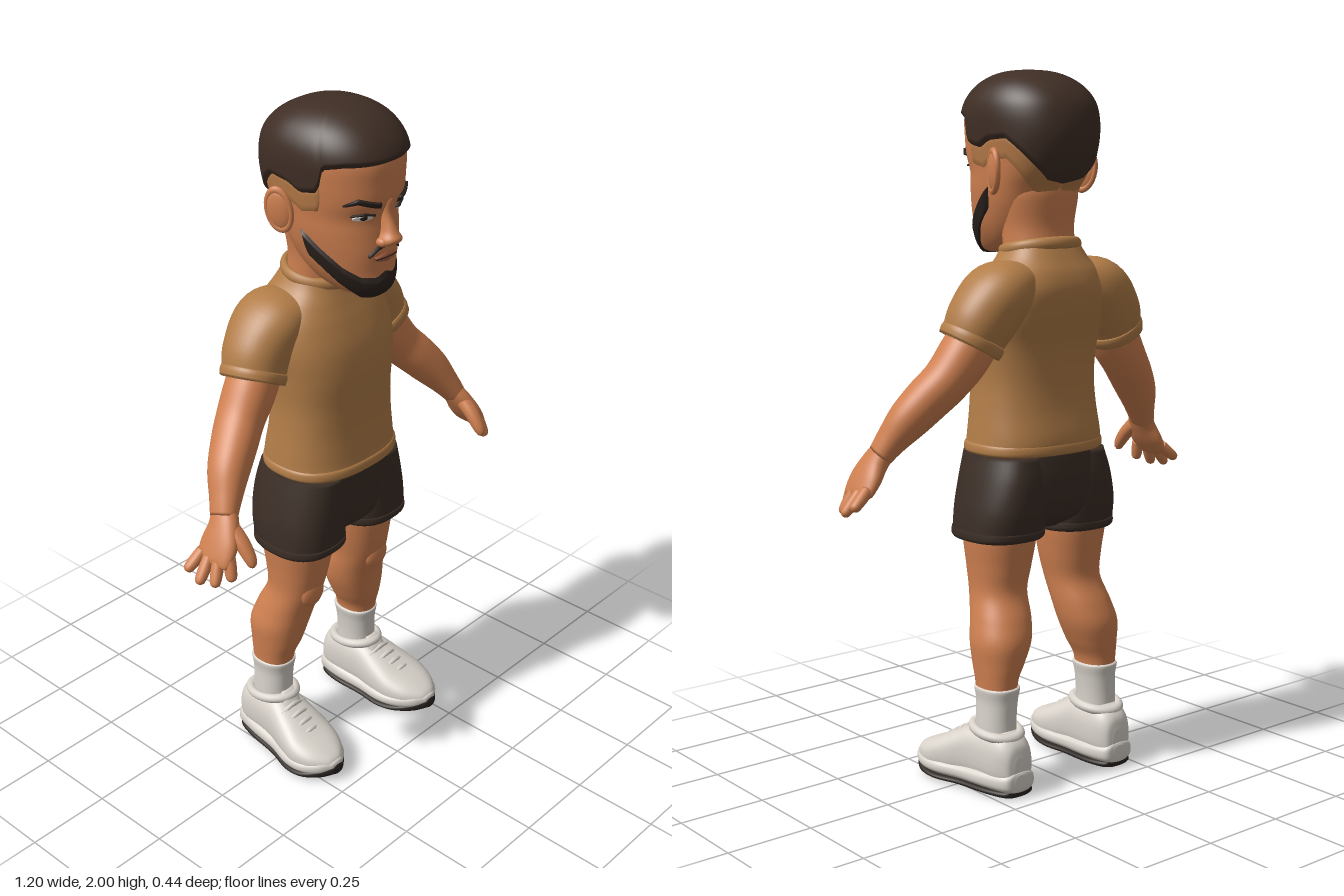
import * as THREE from 'three';
import { mergeVertices } from 'three/addons/utils/BufferGeometryUtils.js';

const mat = (name, color) => Object.assign(new THREE.MeshStandardMaterial({ color }), { name });
const V = (x, y, z) => new THREE.Vector3(x, y, z);
const spow = (v, e) => Math.sign(v) * Math.abs(v) ** e;
const lerp = THREE.MathUtils.lerp;

// Grid of points (rows x cols) to a smooth, welded geometry.
function gridGeometry(rows) {
  const n = rows[0].length, idx = [];
  for (let i = 0; i < rows.length - 1; i++) for (let j = 0; j < n - 1; j++) {
    const a = i * n + j, b = a + n;
    idx.push(a, a + 1, b + 1, a, b + 1, b);
  }
  let g = new THREE.BufferGeometry().setFromPoints(rows.flat());
  g.setIndex(idx);
  g = mergeVertices(g, 1e-5);
  g.computeVertexNormals();
  return g;
}

// Smooth tube through sections [x, y, z, a, b]; a lies along the side axis. A fixed axis keeps rings parallel.
function loft(sections, { axis = null, side = V(1, 0, 0), power = 2.2, seg = 40, steps = 6, s = 1 } = {}) {
  const pos = new THREE.CatmullRomCurve3(sections.map(r => V(r[0] * s, r[1], r[2])), false, 'catmullrom');
  const rad = new THREE.CatmullRomCurve3(sections.map(r => V(r[3], r[4], 0)), false, 'catmullrom');
  const count = (sections.length - 1) * steps, rows = [];
  for (let i = 0; i <= count; i++) {
    const t = i / count, c = pos.getPoint(t), r = rad.getPoint(t);
    const T = axis ? axis.clone() : pos.getTangent(t);
    const S = side.clone().addScaledVector(T, -side.dot(T)).normalize(), B = T.clone().cross(S);
    const ring = [];
    for (let j = 0; j <= seg; j++) {
      const w = (j % seg) / seg * Math.PI * 2;
      ring.push(c.clone().addScaledVector(S, r.x * spow(Math.cos(w), 2 / power))
        .addScaledVector(B, r.y * spow(Math.sin(w), 2 / power)));
    }
    if (i === 0) rows.push(ring.map(() => c.clone()));
    rows.push(ring);
    if (i === count) rows.push(ring.map(() => c.clone()));
  }
  return gridGeometry(rows);
}

// Head profile: [y, half width, front z, back z, z of widest point]
const HEAD = [
  [1.495, .0, .12, .12, .12], [1.503, .055, .15, .05, .09], [1.53, .086, .172, -.03, .05], [1.575, .112, .172, -.09, .03],
  [1.63, .13, .176, -.115, 0], [1.68, .14, .172, -.14, -.01], [1.725, .145, .17, -.172, -.02], [1.77, .15, .187, -.195, -.02],
  [1.82, .155, .19, -.207, -.02], [1.87, .157, .19, -.203, -.02], [1.91, .149, .175, -.188, -.02],
  [1.945, .127, .143, -.155, -.015], [1.97, .093, .1, -.11, -.01], [1.983, .053, .055, -.065, -.005], [1.988, 0, 0, 0, 0]];
const headA = new THREE.CatmullRomCurve3(HEAD.map(r => V(r[1], r[0], r[2])), false, 'catmullrom');
const headB = new THREE.CatmullRomCurve3(HEAD.map(r => V(r[3], r[4], 0)), false, 'catmullrom');
function heightToT(y) {
  let lo = 0, hi = 1;
  for (let i = 0; i < 24; i++) { const m = (lo + hi) / 2; headA.getPoint(m).y < y ? lo = m : hi = m; }
  return (lo + hi) / 2;
}
function headPoint(th, t, off) {
  const A = headA.getPoint(t), B = headB.getPoint(t), c = Math.cos(th), e = 2 / 2.25;
  const p = V(A.x * spow(Math.sin(th), e), A.y, B.y + (c > 0 ? A.z - B.y : B.y - B.x) * spow(c, e));
  return p.addScaledVector(V(p.x, p.y - 1.75, p.z).normalize(), off);
}
// Piece of the head surface between two angles and two height curves, raised by off, with tucked edges.
function headPatch(th0, th1, low, high, off, nu = 24, nv = 8) {
  const full = th1 - th0 > 6.28, top = high === null, rows = [];
  const cols = [...Array(nu + 1).keys()].map(j => {
    const th = lerp(th0, th1, j / nu);
    return [th, heightToT(low(th)), top ? 1 : heightToT(high(th))];
  });
  for (let i = 0; i <= nv; i++) rows.push(cols.map(([th, a, b], j) => {
    const edge = i === 0 || (i === nv && !top) || (!full && (j === 0 || j === nu));
    return headPoint(th, lerp(a, b, i / nv), off && edge ? -.003 : off);
  }));
  return gridGeometry(rows);
}
// Piecewise linear curve of height against the angle from the front.
const curve = pts => th => {
  const a = Math.abs(th);
  for (let i = 1; i < pts.length; i++) if (a <= pts[i][0]) {
    const [p, q] = [pts[i - 1], pts[i]];
    return lerp(p[1], q[1], (a - p[0]) / (q[0] - p[0]));
  }
  return pts[pts.length - 1][1];
};

export function createModel() {
  const skin = mat('skin', 0xcf8050), shirt = mat('shirt tan', 0xb27d48), shorts = mat('shorts brown', 0x3a2d25),
    hair = mat('hair brown', 0x3f2e25), beard = mat('beard black', 0x2a211c), fade = mat('hair fade', 0xb57a48),
    white = mat('shoe white', 0xd9d3cb), sole = mat('sole black', 0x2c2520), lip = mat('lip', 0xac603f);
  const model = new THREE.Group();
  const add = (name, geometry, material, parent = model) => {
    const m = new THREE.Mesh(geometry, material);
    m.name = name;
    parent.add(m);
    return m;
  };
  const ball = (name, material, p, scale, parent) => {
    const m = add(name, new THREE.SphereGeometry(1, 24, 16), material, parent);
    m.position.set(...p);
    m.scale.set(...scale);
    return m;
  };
  const up = V(0, 1, 0), PI = Math.PI;

  // Head, hair and beard
  const head = new THREE.Group();
  head.name = 'head';
  model.add(head);
  add('face', headPatch(-PI, PI, () => 1.495, null, 0, 64, 60), skin, head);
  const hairline = curve([[0, 1.875], [.8, 1.872], [1.12, 1.862], [1.2, 1.795], [1.45, 1.785], [1.6, 1.805], [1.9, 1.81], [2.4, 1.745], [2.8, 1.7], [PI, 1.69]]);
  add('hair', headPatch(-PI, PI, hairline, null, .013, 128, 36), hair, head);
  for (const [a, b] of [[1.15, PI], [-PI, -1.15]])
    add('hairFade', headPatch(a, b, th => hairline(th) - .055, th => hairline(th) + .02, .003, 40, 6), fade, head);
  add('beard', headPatch(-1.55, 1.55,
    curve([[0, 1.499], [.9, 1.503], [1.2, 1.545], [1.55, 1.625]]),
    curve([[0, 1.572], [.25, 1.56], [.65, 1.565], [1, 1.595], [1.3, 1.645], [1.55, 1.69]]), .009, 56, 14), beard, head);
  add('moustache', headPatch(-.42, .42, curve([[0, 1.643], [.2, 1.638], [.42, 1.618]]),
    curve([[0, 1.652], [.12, 1.657], [.42, 1.63]]), .006, 32, 4), beard, head);
  add('lips', headPatch(-.3, .3, curve([[0, 1.598], [.3, 1.612]]), curve([[0, 1.628], [.3, 1.618]]), .005, 20, 6), lip, head);
  add('mouthLine', headPatch(-.3, .3, () => 1.613, () => 1.618, .007, 20, 3), beard, head);

  // Nose
  add('nose', loft([[0, 1.642, .165, .018, .01], [0, 1.652, .178, .031, .026], [0, 1.668, .186, .03, .033], [0, 1.69, .18, .02, .027],
    [0, 1.73, .17, .015, .02], [0, 1.77, .174, .016, .016], [0, 1.785, .17, .008, .008]], { axis: up }), skin, head);

  for (const s of [1, -1]) {
    // Eyes and brows
    const span = (a, b) => s > 0 ? [a, b] : [-b, -a];
    const lens = (mid, half, y, h) => th => y + h * Math.sqrt(Math.max(0, 1 - ((Math.abs(th) - mid) / half) ** 2));
    add('eye', headPatch(...span(.26, .66), lens(.46, .2, 1.732, -.011), lens(.46, .2, 1.732, .009), .003, 20, 6), white, head);
    add('iris', headPatch(...span(.38, .52), lens(.45, .07, 1.733, -.009), lens(.45, .07, 1.733, .009), .0055, 12, 6), beard, head);
    add('upperLid', headPatch(...span(.22, .7), curve([[.22, 1.733], [.45, 1.739], [.7, 1.737]]),
      curve([[.22, 1.739], [.45, 1.748], [.7, 1.743]]), .007, 16, 4), beard, head);
    add('eyebrow', headPatch(...span(.17, .85), curve([[.17, 1.752], [.6, 1.772], [.85, 1.766]]),
      curve([[.17, 1.772], [.6, 1.791], [.85, 1.772]]), .008, 20, 5), beard, head);
    ball('nostrilWing', skin, [s * .025, 1.66, .18], [.014, .013, .018], head);

    // Ear
    const ear = new THREE.Group();
    ear.name = 'ear';
    ear.position.set(s * .163, 1.727, -.055);
    ear.rotation.set(-.2, s * -.35, s * -.1);
    head.add(ear);
    ball('earBody', skin, [0, 0, 0], [.014, .056, .036], ear);
    const rim = add('earRim', new THREE.TorusGeometry(1, .2, 10, 32), skin, ear);
    rim.rotation.y = PI / 2;
    rim.scale.set(.034, .054, .045);

    // Sleeve and cuff
    const fore = V(0, 0, 1);
    add('sleeve', loft([[.1, 1.43, -.075, .09, .06], [.17, 1.4, -.085, .105, .088], [.225, 1.335, -.082, .095, .093],
      [.25, 1.285, -.074, .086, .085], [.259, 1.264, -.07, .085, .084]], { side: fore, s }), shirt);
    add('sleeveCuff', loft([[.247, 1.29, -.075, .087, .087], [.253, 1.278, -.073, .09, .09], [.261, 1.262, -.07, .088, .087]],
      { side: fore, s, steps: 3 }), shirt);

    // Arm and hand
    add('arm', loft([[.2, 1.35, -.08, .065, .065], [.27, 1.245, -.068, .07, .071], [.325, 1.175, -.055, .066, .064], [.372, 1.125, -.033, .063, .061],
      [.42, 1.07, -.008, .056, .055], [.458, 1.015, .018, .045, .041], [.483, .975, .035, .039, .032]], { side: fore, s }), skin);
    add('palm', loft([[.474, .988, .03, .037, .029], [.495, .953, .045, .048, .029], [.518, .915, .052, .06, .027],
      [.54, .88, .054, .059, .021], [.549, .866, .054, .05, .014]], { side: fore, s }), skin);
    const fingers = [[.528, .892, .098, .54, .832, .118], [.54, .884, .07, .576, .818, .088], [.545, .882, .04, .597, .82, .048],
      [.542, .888, .012, .597, .842, .002]];
    for (const [x, y, z, X, Y, Z] of fingers) add('finger', loft([[x, y, z, .016, .017],
      [lerp(x, X, .5), lerp(y, Y, .5), lerp(z, Z, .5), .017, .016], [lerp(x, X, .88), lerp(y, Y, .88), lerp(z, Z, .88), .014, .013],
      [X, Y, Z, .005, .005]], { side: fore, s, seg: 16 }), skin);
    add('thumb', loft([[.49, .955, .07, .024, .022], [.488, .925, .105, .022, .02], [.487, .892, .132, .018, .017],
      [.488, .872, .144, .012, .012], [.488, .865, .148, .004, .004]], { s, seg: 16 }), skin);

    // Shorts leg and hem
    const leg = { axis: up, s };
    add('shortsLeg', loft([[.128, .718, -.026, .113, .124], [.128, .735, -.028, .114, .13], [.125, .8, -.034, .109, .14],
      [.115, .88, -.035, .1, .142], [.105, .95, -.03, .09, .135]], { ...leg, power: 2.5 }), shorts);
    add('shortsHem', loft([[.129, .713, -.026, .113, .124], [.129, .722, -.027, .117, .131], [.129, .74, -.028, .116, .131]],
      { ...leg, power: 2.5, steps: 3 }), shorts);

    // Leg and sock
    add('leg', loft([[.185, .26, -.09, .05, .06], [.184, .32, -.088, .055, .066], [.174, .37, -.084, .069, .078], [.163, .43, -.08, .083, .087],
      [.15, .49, -.064, .083, .085], [.138, .56, -.038, .079, .081], [.132, .63, -.034, .087, .092], [.13, .71, -.035, .097, .105],
      [.13, .77, -.035, .097, .108]], leg), skin);
    add('kneecap', new THREE.SphereGeometry(.045, 20, 14).scale(1, 1.1, .5).translate(s * .14, .56, .028), skin);
    add('sock', loft([[.188, .12, -.09, .054, .064], [.188, .2, -.09, .052, .061], [.185, .26, -.09, .053, .063],
      [.184, .295, -.09, .058, .069], [.184, .302, -.09, .054, .065]], leg), white);

    // Shoe
    const shoe = new THREE.Group();
    shoe.name = 'shoe';
    model.add(shoe);
    const along = { axis: V(0, 0, 1), s, power: 2.5 };
    add('shoeUpper', loft([[.186, .08, -.198, .02, .035], [.186, .09, -.188, .046, .065], [.188, .1, -.15, .062, .083], [.191, .1, -.08, .066, .086],
      [.196, .097, -.03, .07, .083], [.203, .082, .03, .082, .069], [.21, .068, .09, .088, .053], [.213, .058, .145, .072, .04],
      [.214, .052, .185, .038, .026], [.214, .05, .199, .01, .01]], along), white, shoe);
    add('midsole', loft([[.186, .048, -.203, .02, .02], [.186, .046, -.19, .053, .032], [.189, .044, -.12, .071, .032], [.197, .042, -.02, .079, .03],
      [.206, .042, .06, .094, .03], [.212, .044, .12, .088, .029], [.214, .048, .17, .06, .026], [.214, .052, .201, .018, .014]], along), white, shoe);
    add('outsole', loft([[.186, .018, -.198, .02, .01], [.186, .014, -.185, .05, .013], [.189, .013, -.12, .069, .013], [.197, .013, -.02, .077, .013],
      [.206, .013, .06, .092, .013], [.212, .018, .12, .086, .015], [.214, .029, .17, .058, .02], [.214, .04, .203, .02, .016]], along), sole, shoe);
    const collar = add('shoeCollar', new THREE.TorusGeometry(.062, .014, 12, 36), white, shoe);
    collar.position.set(s * .188, .175, -.092);
    collar.rotation.x = PI / 2 - .12;
    collar.scale.set(.95, 1.2, 1);
    add('tongue', loft([[.195, .13, .0, .03, .03], [.193, .17, -.015, .032, .02], [.191, .2, -.028, .024, .01]], { axis: up, s, steps: 4 }), white, shoe);
    for (let i = 0; i < 4; i++) {
      const z = .005 + i * .027, y = .168 - i * .0155, x = s * (.199 + i * .003);
      const path = new THREE.CatmullRomCurve3([V(x - .046, y - .018, z - .006), V(x, y, z), V(x + .046, y - .018, z - .006)]);
      add('lace', new THREE.TubeGeometry(path, 12, .007, 8), white, shoe);
    }
  }

  // Neck, shirt and collar
  add('neck', loft([[0, 1.44, -.055, .1, .085], [0, 1.52, -.052, .104, .086], [0, 1.58, -.045, .106, .088], [0, 1.66, -.045, .118, .096],
    [0, 1.7, -.045, .11, .09]], { axis: up }), skin);
  add('shirt', loft([[0, .95, -.028, .188, .138], [0, .965, -.028, .198, .148], [0, 1.0, -.03, .196, .146], [0, 1.08, -.026, .188, .135],
    [0, 1.16, -.024, .184, .132], [0, 1.25, -.026, .192, .136], [0, 1.33, -.042, .202, .142], [0, 1.4, -.06, .195, .137],
    [0, 1.45, -.066, .168, .122], [0, 1.49, -.064, .132, .104], [0, 1.525, -.06, .11, .09]], { axis: up, power: 2.5, seg: 56 }), shirt);
  const hem = loft([[0, .95, -.028, .196, .146], [0, .957, -.028, .203, .152], [0, .975, -.028, .202, .151], [0, .983, -.028, .196, .146]],
    { axis: up, power: 2.5, seg: 56, steps: 3 });
  add('shirtHem', hem, shirt);
  const collar = add('shirtCollar', new THREE.TorusGeometry(.108, .013, 12, 48), shirt);
  collar.position.set(0, 1.518, -.056);
  collar.rotation.x = PI / 2 + .17;
  collar.scale.set(1, .9, 1.3);

  // Shorts seat and waist
  add('shortsSeat', loft([[0, .735, -.03, .05, .08], [0, .77, -.034, .14, .125], [0, .82, -.037, .2, .14], [0, .88, -.036, .208, .145],
    [0, .94, -.03, .198, .146], [0, .968, -.028, .19, .14]], { axis: up, power: 2.5, seg: 56 }), shorts);
  return model;
}
